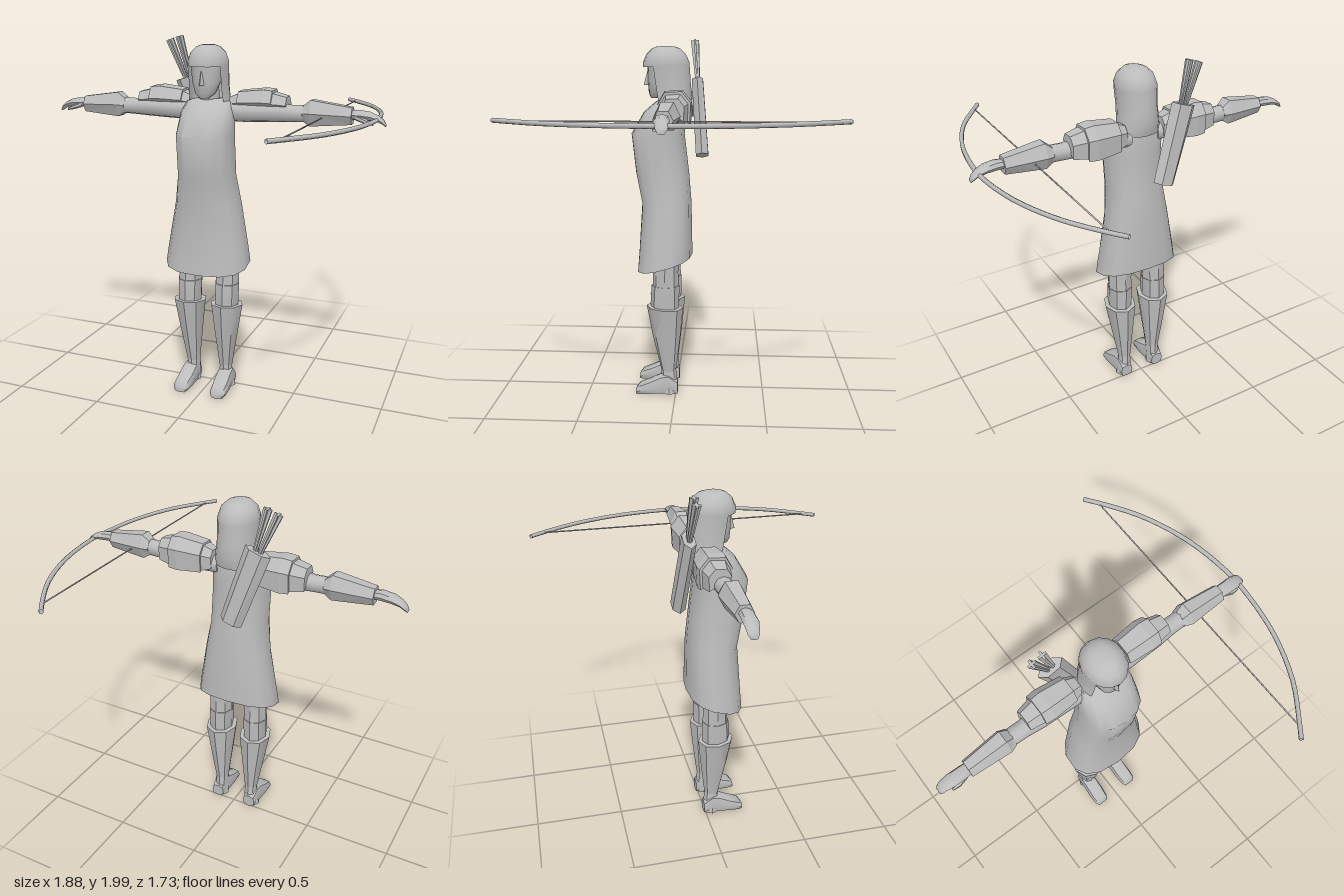
import * as THREE from 'three';
import { toCreasedNormals } from 'three/addons/utils/BufferGeometryUtils.js';

const TAU = Math.PI * 2;
const SMOOTH = 0.75, FACETED = 0.05;

// Skin a stack of point rings; closed rings get fan caps at both ends.
function skin(rings, crease, closed = true) {
  const n = rings[0].length, pos = [], idx = [];
  rings.forEach(r => r.forEach(p => pos.push(...p)));
  for (let i = 0; i < rings.length - 1; i++) {
    for (let j = 0; j < (closed ? n : n - 1); j++) {
      const k = (j + 1) % n, a = i * n, b = a + n;
      idx.push(a + j, a + k, b + k, a + j, b + k, b + j);
    }
  }
  if (closed) {
    [0, rings.length - 1].forEach(i => {
      const c = pos.length / 3;
      pos.push(...[0, 1, 2].map(d => rings[i].reduce((s, p) => s + p[d], 0) / n));
      for (let j = 0; j < n; j++) {
        const k = (j + 1) % n, a = i * n;
        idx.push(c, a + (i ? j : k), a + (i ? k : j));
      }
    });
  }
  const g = new THREE.BufferGeometry();
  g.setAttribute('position', new THREE.Float32BufferAttribute(pos, 3));
  g.setIndex(idx);
  return toCreasedNormals(g, crease);
}

// Rings along an axis. Section: [position, u centre, v centre, u radius, v radius],
// where (u, v) is (z, x) for y, (y, z) for x and (x, y) for z.
function loft(axis, sections, n, opt = {}) {
  const { crease = SMOOTH, square = 1, arc = null, turn = 0, shift = null } = opt;
  const pw = c => Math.sign(c) * Math.abs(c) ** square;
  const rings = sections.map(([t, cu, cv, ru, rv]) => {
    const ring = [];
    for (let j = 0; j < n; j++) {
      const a = arc ? arc[0] + (arc[1] - arc[0]) * j / (n - 1) : turn + TAU * j / n;
      const u = cu + ru * pw(Math.cos(a)), v = cv + rv * pw(Math.sin(a));
      const p = axis === 'y' ? [v, t, u] : axis === 'x' ? [t, u, v] : [u, v, t];
      if (shift) shift(p, t);
      ring.push(p);
    }
    return ring;
  });
  return skin(rings, crease, !arc);
}

function mirrored(geo) {
  const g = geo.clone().scale(-1, 1, 1);
  for (const name of ['position', 'normal']) {
    const a = g.getAttribute(name).array;
    for (let i = 0; i < a.length; i += 9) {
      for (let d = 0; d < 3; d++) [a[i + 3 + d], a[i + 6 + d]] = [a[i + 6 + d], a[i + 3 + d]];
    }
  }
  return g;
}

export function createModel() {
  const model = new THREE.Group();
  const grey = new THREE.MeshStandardMaterial({ color: 0xbcbcbc, side: THREE.DoubleSide });
  grey.name = 'plain grey';
  const add = (name, geo, parent = model) => {
    const m = new THREE.Mesh(geo, grey);
    m.name = name;
    parent.add(m);
    return m;
  };
  const pair = (name, geo) => {
    add('left' + name, geo);
    add('right' + name, mirrored(geo));
  };

  // Tunic, with the hem lower at the front
  add('tunic', loft('y', [
    [0.76, 0.065, 0, 0.155, 0.24], [0.84, 0.062, 0, 0.15, 0.228], [1.1, 0.055, 0, 0.138, 0.183],
    [1.26, 0.078, 0, 0.148, 0.156], [1.48, 0.103, 0, 0.147, 0.155], [1.6, 0.065, 0, 0.115, 0.145],
    [1.655, 0.04, 0, 0.075, 0.12], [1.67, 0.04, 0, 0.05, 0.07],
  ], 14, {
    square: 0.8,
    shift: (p, t) => { if (t < 0.9) p[1] += (0.07 - p[2]) * 0.28 * (t < 0.8 ? 1 : 0.7); },
  }));

  // Neck, face and nose
  add('neck', loft('y', [[1.62, 0.04, 0, 0.055, 0.06], [1.76, 0.06, 0, 0.055, 0.055]], 10));
  add('face', loft('y', [
    [1.675, 0.115, 0, 0.025, 0.025], [1.7, 0.1, 0, 0.052, 0.055], [1.76, 0.08, 0, 0.078, 0.078],
    [1.87, 0.08, 0, 0.08, 0.088],
  ], 12));
  add('nose', loft('y', [[1.745, 0.155, 0, 0.025, 0.014], [1.82, 0.15, 0, 0.01, 0.008]], 4));

  // Hood: crown plus a curtain around the back and sides
  add('hoodCrown', loft('y', [
    [1.84, 0.057, 0, 0.127, 0.107], [1.865, 0.057, 0, 0.127, 0.109], [1.91, 0.058, 0, 0.107, 0.094],
    [1.94, 0.058, 0, 0.075, 0.062], [1.95, 0.06, 0, 0.045, 0.035],
  ], 14));
  add('hoodCurtain', loft('y', [
    [1.61, 0.03, 0, 0.095, 0.12], [1.68, 0.035, 0, 0.12, 0.11], [1.75, 0.045, 0, 0.122, 0.105],
    [1.85, 0.057, 0, 0.127, 0.108],
  ], 13, { arc: [0.33 * Math.PI, 1.67 * Math.PI] }));

  // Arms, bracers and hands
  pair('Arm', loft('x', [
    [0.08, 1.6, 0.01, 0.05, 0.06], [0.16, 1.6, 0.01, 0.055, 0.06], [0.36, 1.605, 0.01, 0.052, 0.055],
    [0.45, 1.603, 0.01, 0.045, 0.045], [0.56, 1.607, 0.01, 0.045, 0.045],
  ], 10));
  pair('Bracer', loft('x', [
    [0.515, 1.608, 0.01, 0.045, 0.05], [0.555, 1.612, 0.012, 0.078, 0.065],
    [0.77, 1.606, 0.015, 0.05, 0.048],
  ], 6, { crease: FACETED, turn: Math.PI / 6 }));
  pair('Hand', loft('x', [
    [0.75, 1.61, 0.015, 0.024, 0.03], [0.8, 1.613, 0.018, 0.026, 0.036],
    [0.86, 1.608, 0.016, 0.023, 0.037], [0.9, 1.596, 0.012, 0.017, 0.032],
    [0.925, 1.58, 0.01, 0.014, 0.027], [0.938, 1.565, 0.01, 0.007, 0.018],
  ], 8));
  pair('Thumb', loft('x', [
    [0.79, 1.602, 0.035, 0.016, 0.016], [0.84, 1.585, 0.047, 0.013, 0.013],
    [0.88, 1.572, 0.045, 0.007, 0.008],
  ], 6));

  // Overlapping shoulder plates, deeper at the back
  const archRing = (x, s, lift = 0) => [
    [1.72, -0.045], [1.715, 0.04], [1.655, 0.075], [1.56, -0.085], [1.665, -0.09],
  ].map(([y, z]) => [x, 1.62 + (y - 1.62) * s + lift, z * s]);
  pair('InnerShoulderPlate', skin([archRing(0.11, 0.6), archRing(0.17, 0.85)], FACETED));
  pair('ShoulderPlate', skin([archRing(0.16, 0.92), archRing(0.3, 1.08), archRing(0.35, 1.02)], FACETED));
  pair('OuterShoulderPlate', skin([archRing(0.33, 0.93), archRing(0.425, 0.7)], FACETED));

  // Legs, knee cuffs, greaves and shoes
  pair('Thigh', loft('y', [
    [0.63, 0.055, 0.112, 0.073, 0.068], [0.72, 0.055, 0.112, 0.07, 0.07], [0.88, 0.05, 0.105, 0.07, 0.078],
  ], 8));
  pair('Knee', loft('y', [
    [0.45, 0.055, 0.112, 0.07, 0.062], [0.54, 0.06, 0.113, 0.08, 0.068], [0.645, 0.056, 0.112, 0.078, 0.071],
  ], 8));
  pair('Greave', loft('y', [
    [0.14, 0.04, 0.1, 0.042, 0.04], [0.2, 0.043, 0.102, 0.053, 0.047],
    [0.36, 0.052, 0.107, 0.08, 0.07], [0.52, 0.06, 0.112, 0.102, 0.093],
  ], 8, { shift: (p, t) => { if (t > 0.5) p[1] += (p[2] - 0.06) * 0.07; } }));
  pair('Ankle', loft('y', [
    [0.01, 0.035, 0.108, 0.045, 0.05], [0.1, 0.037, 0.1, 0.044, 0.039], [0.17, 0.04, 0.1, 0.04, 0.037],
  ], 8));
  pair('Shoe', loft('z', [
    [-0.012, 0.108, 0.042, 0.038, 0.038], [0.04, 0.108, 0.062, 0.046, 0.062],
    [0.085, 0.108, 0.058, 0.048, 0.058], [0.15, 0.11, 0.041, 0.05, 0.041],
    [0.205, 0.112, 0.029, 0.046, 0.029], [0.225, 0.112, 0.015, 0.034, 0.015],
  ], 8, { square: 0.65 }));

  // Quiver slung across the back, with flared fletchings
  const quiver = new THREE.Group();
  quiver.name = 'quiver';
  const top = new THREE.Vector3(-0.19, 1.765, -0.107), base = new THREE.Vector3(-0.055, 1.355, -0.14);
  const dir = top.clone().sub(base), len = dir.length();
  quiver.position.copy(base);
  quiver.quaternion.setFromUnitVectors(new THREE.Vector3(0, 1, 0), dir.normalize());
  add('quiverCase', loft('y', [[0, 0, 0, 0.04, 0.064], [len, 0, 0, 0.036, 0.074]], 6,
    { crease: FACETED, turn: Math.PI / 6 }), quiver);
  for (const s of [-1, 1]) {
    const arrow = loft('y', [[0, 0, 0, 0.006, 0.014], [0.235, 0, 0, 0.007, 0.027]], 4,
      { crease: FACETED, turn: Math.PI / 4, square: 0.5 });
    const blade = arrow.clone().rotateY(Math.PI / 2);
    [arrow, blade].forEach((g, i) => {
      const m = add(i ? 'crossFletching' : 'fletching', g, quiver);
      m.position.set(s * 0.014, len - 0.01, 0);
      m.rotation.z = -s * 0.07;
    });
  }
  model.add(quiver);

  // Bow lying level in the left hand, and its string
  const bow = new THREE.CatmullRomCurve3([
    [0.57, -0.86], [0.63, -0.78], [0.755, -0.58], [0.85, -0.33], [0.892, -0.08],
    [0.892, 0.08], [0.85, 0.35], [0.755, 0.6], [0.635, 0.78], [0.58, 0.855],
  ].map(([x, z]) => new THREE.Vector3(x, 1.592, z)));
  add('bow', new THREE.TubeGeometry(bow, 30, 0.012, 6));
  add('bowString', new THREE.CylinderGeometry(0.004, 0.004, 1.57, 5).rotateX(Math.PI / 2).translate(0.62, 1.592, 0));

  return model;
}
